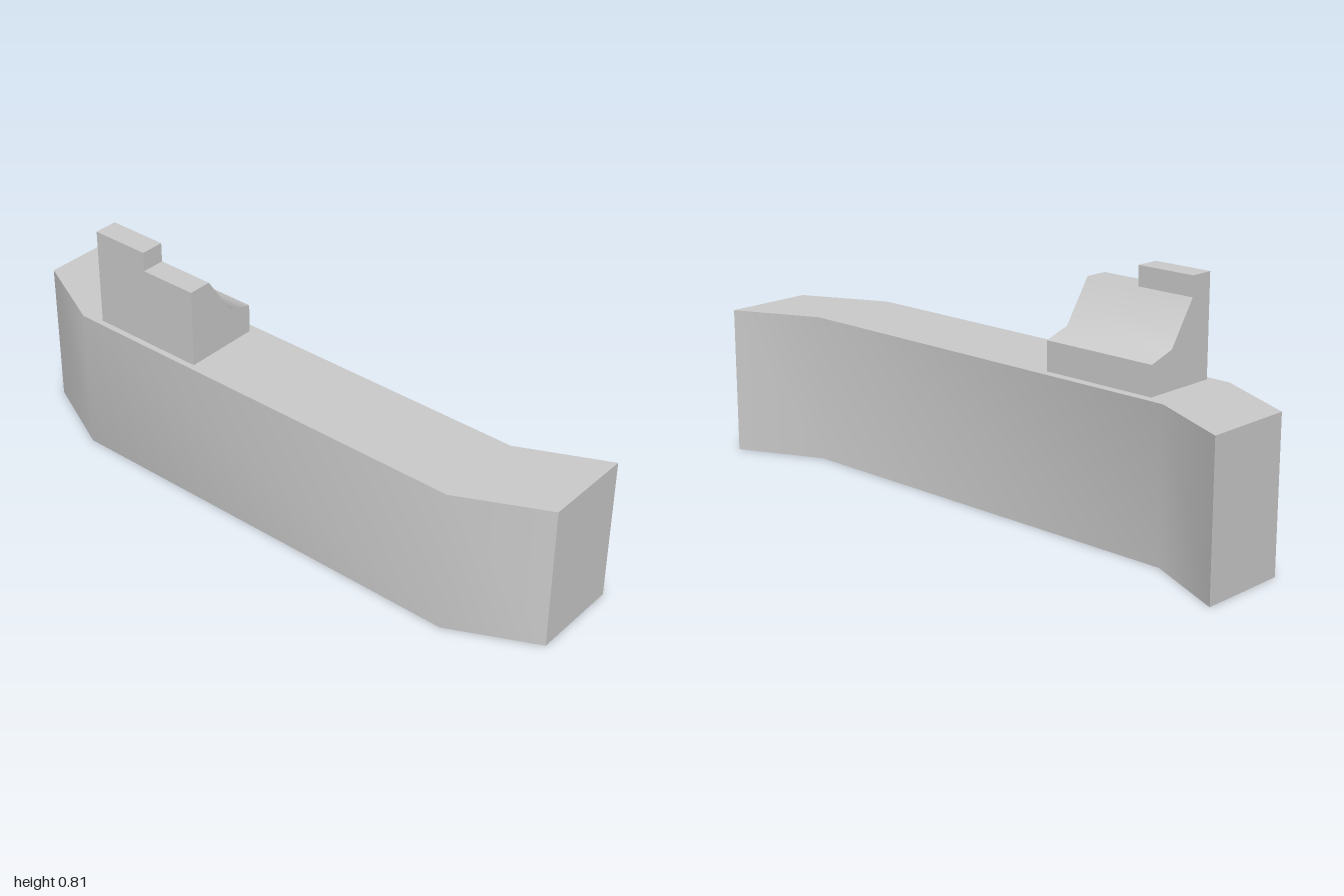
import * as THREE from 'three';
import { toCreasedNormals } from 'three/addons/utils/BufferGeometryUtils.js';

const grey = new THREE.MeshStandardMaterial({ color: 0xcccccc });

// Closed outline extruded along z, with shallow bends shaded smoothly
function extrude(points, depth) {
  const shape = new THREE.Shape(points.map(([x, y]) => new THREE.Vector2(x, y)));
  return new THREE.ExtrudeGeometry(shape, { depth, bevelEnabled: false });
}

function part(name, geometry) {
  const mesh = new THREE.Mesh(toCreasedNormals(geometry, 0.75), grey);
  mesh.name = name;
  return mesh;
}

export function createModel() {
  const group = new THREE.Group();
  group.name = 'curvedBarrier';

  // Long wall whose ends sweep backwards; outline is (x, -z)
  const front = [[-1, -0.08], [-0.72, -0.215], [0.72, -0.215], [1, -0.08]];
  const back = [[1, 0.22], [0.72, 0.09], [-0.72, 0.09], [-1, 0.22]];
  const wall = extrude([...front, ...back], 0.486);
  wall.rotateX(-Math.PI / 2);
  group.add(part('wall', wall));

  // Sloped block on top; outline is (-z, y), extruded along x
  const profile = [
    [-0.195, 0.486], [0.061, 0.486], [0.061, 0.581],
    [-0.027, 0.608], [-0.117, 0.744], [-0.195, 0.744],
  ];
  const block = extrude(profile, 0.395);
  block.rotateY(Math.PI / 2);
  block.translate(-0.654, 0, 0);
  group.add(part('slopedBlock', block));

  // Small raised step at one end of the block
  const step = new THREE.BoxGeometry(0.2, 0.064, 0.078);
  step.translate(-0.554, 0.776, 0.156);
  group.add(part('raisedStep', step));

  return group;
}
